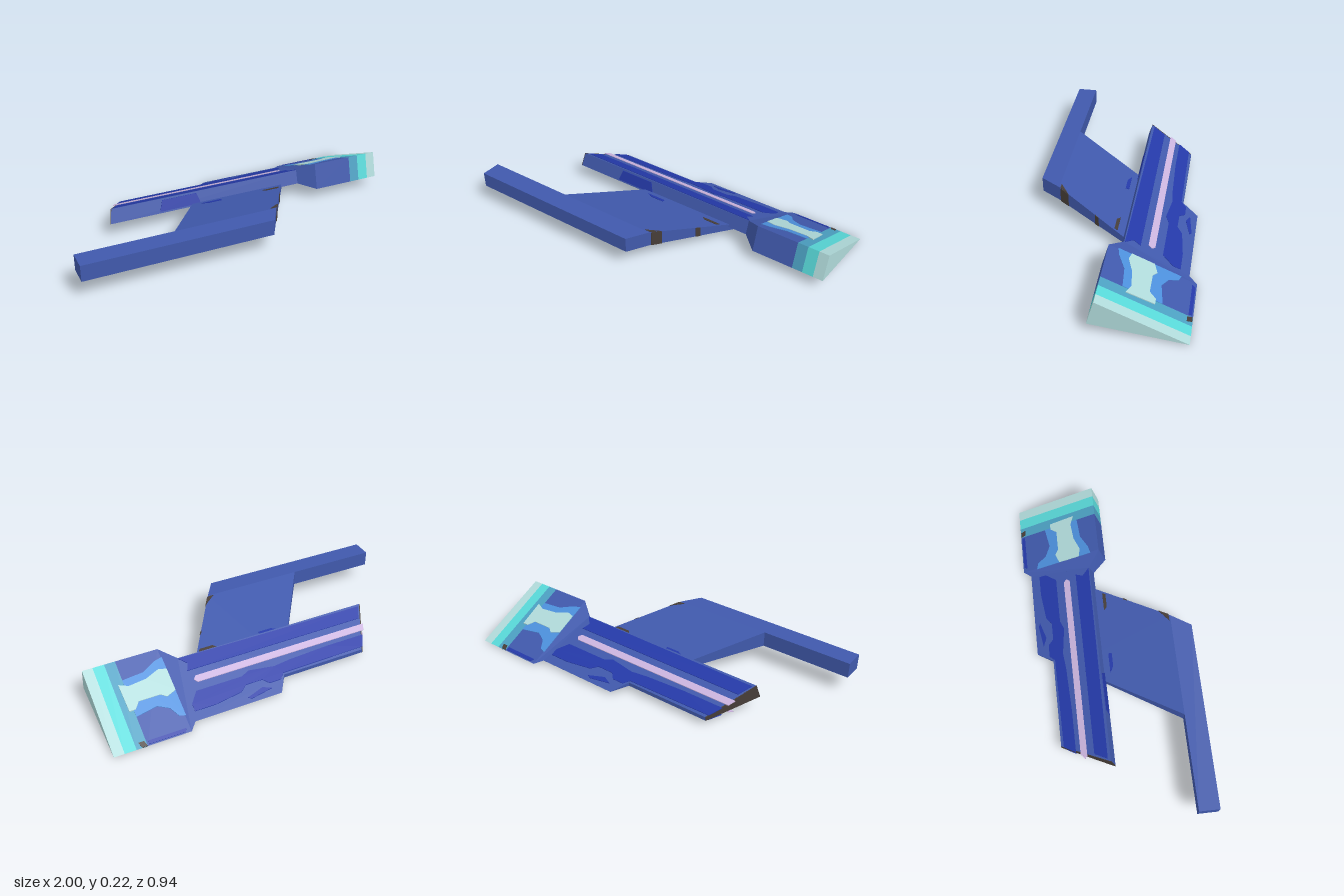
import * as THREE from 'three';

const mat = (name, color) => {
  const m = new THREE.MeshStandardMaterial({ color });
  m.name = name;
  return m;
};

// Closed solid between two matching rings of [x, y, z]; u and v are the axes the caps are triangulated in.
function hull(a, b, u, v) {
  const flat = a.map(p => new THREE.Vector2(p[u], p[v]));
  if (THREE.ShapeUtils.isClockWise(flat)) {
    a = [...a].reverse();
    b = [...b].reverse();
    flat.reverse();
  }
  const tris = [];
  a.forEach((p, i) => {
    const j = (i + 1) % a.length;
    tris.push([p, a[j], b[j]], [p, b[j], b[i]]);
  });
  for (const [i, j, k] of THREE.ShapeUtils.triangulateShape(flat, [])) {
    tris.push([a[k], a[j], a[i]], [b[i], b[j], b[k]]);
  }
  // Turn the faces outward if the enclosed volume is negative
  const V = p => new THREE.Vector3(...p);
  const volume = tris.reduce((s, [p, q, r]) => s + V(p).dot(V(q).cross(V(r))), 0);
  if (volume < 0) tris.forEach(t => t.reverse());
  const g = new THREE.BufferGeometry();
  g.setAttribute('position', new THREE.Float32BufferAttribute(tris.flat(2), 3));
  g.computeVertexNormals();
  return g;
}

// Sloping surfaces: height as a function of z
const bodyTop = z => 0.165 + 0.417 * (z + 0.075);
const bodyBottom = z => 0.085 + 0.18 * (z + 0.05);
const headTop = z => 0.213 + 0.458 * (z + 0.01);
const headBottom = z => 0.065 + 0.129 * (z - 0.03);
const wingTop = z => 0.2 + 0.2437 * (z - 0.355);
const wingBottom = z => 0.11 + 0.1244 * (z - 0.355);
const lay = (outline, f, lift = 0) => outline.map(([x, z]) => [x, f(z) + lift, z]);

export function createModel() {
  const group = new THREE.Group();
  const blue = mat('hull blue', 0x4059ac);
  const deep = mat('deep blue', 0x2439a8);
  const pink = mat('pale lilac', 0xcbb4de);
  const sky = mat('sky blue', 0x4c90dc);
  const teal = mat('teal', 0x4ca0c2);
  const cyan = mat('cyan', 0x58d8d8);
  const pale = mat('pale cyan', 0xb0dada);
  const brown = mat('dark brown', 0x463d38);

  const add = (name, geometry, material) => {
    const m = new THREE.Mesh(geometry, material);
    m.name = name;
    group.add(m);
  };
  // Thin painted plate lying on a sloping surface
  const plate = (name, outline, f, material, lift = 0.003) =>
    add(name, hull(lay(outline, f, lift), lay(outline, f, -0.001), 0, 2), material);

  // Long wedge body with a stepped rear edge
  const rear = [[0.55, -0.43], [0.03, -0.43], [-0.03, -0.34], [-0.54, -0.34]];
  const topRing = lay([[-0.677, -0.075], [0.5, -0.075], ...rear], bodyTop);
  const bottomRing = lay([[-0.69, -0.05], [0.5, -0.05], ...rear], bodyBottom);
  add('body', hull(topRing, bottomRing, 0, 2), blue);

  // Dark slanted end of the body
  const endRing = [topRing[0], bottomRing[0], bottomRing[5], topRing[5]];
  const shift = d => endRing.map(([x, y, z]) => [x + d, y, z]);
  add('bodyEnd', hull(shift(-0.003), shift(0.003), 2, 1), brown);

  // Flare between body and head
  const headSection = x => [[x, 0.065, 0.03], [x, 0.213, -0.01], [x, 0.001, -0.474]];
  const neck = [[0.49, 0.085, -0.05], [0.49, 0.165, -0.075], [0.54, 0.017, -0.43]];
  add('flare', hull(neck, headSection(0.58), 2, 1), blue);

  // Head wedge, banded toward its open end
  [['head', 0.58, 0.82, blue], ['tealBand', 0.82, 0.88, teal],
    ['cyanBand', 0.88, 0.943, cyan], ['paleEnd', 0.943, 1, pale]].forEach(([name, x0, x1, m]) =>
    add(name, hull(headSection(x0), headSection(x1), 2, 1), m));

  // Painted patches repeated on the upper and lower slopes
  const rearPatch = [[-0.55, -0.325], [-0.03, -0.33], [0, -0.36], [0.07, -0.36], [0.1, -0.33],
    [0.2, -0.33], [0.24, -0.36], [0.4, -0.38], [0.52, -0.38], [0.52, -0.34], [0.47, -0.28],
    [0.2, -0.28], [0.15, -0.26], [0, -0.28], [-0.1, -0.27], [-0.35, -0.26], [-0.59, -0.26]];
  const stepPatch = [[0.07, -0.39], [0.2, -0.41], [0.22, -0.4], [0.12, -0.37]];
  const frontPatch = [[-0.66, -0.09], [-0.62, -0.16], [0.47, -0.16], [0.45, -0.12], [0.49, -0.08]];
  const glow = [[0.575, -0.39], [0.61, -0.38], [0.64, -0.33], [0.7, -0.3], [0.82, -0.32],
    [0.82, -0.12], [0.7, -0.11], [0.62, -0.07], [0.575, -0.06]];
  const window_ = [[0.575, -0.25], [0.63, -0.27], [0.66, -0.25], [0.78, -0.25], [0.81, -0.285],
    [0.845, -0.285], [0.85, -0.14], [0.8, -0.16], [0.7, -0.15], [0.62, -0.12], [0.575, -0.13]];
  const edgeBar = [[0.6, -0.45], [0.81, -0.45], [0.81, -0.468], [0.61, -0.468]];
  const corner = [[0.82, -0.472], [0.85, -0.472], [0.86, -0.445], [0.83, -0.445]];
  const stripe = w => [[-0.63, -0.217 + w], [-0.61, -0.217 - w], [0.44, -0.217 - w],
    [0.455, -0.217], [0.44, -0.217 + w]];
  for (const [side, body, head, s, w] of [
    ['upper', bodyTop, headTop, 1, 0.018], ['lower', bodyBottom, headBottom, -1, 0.009]]) {
    plate(side + 'RearPatch', rearPatch, body, deep, 0.003 * s);
    plate(side + 'StepPatch', stepPatch, body, deep, 0.003 * s);
    plate(side + 'FrontPatch', frontPatch, body, deep, 0.003 * s);
    plate(side + 'Stripe', stripe(w), body, pink, 0.004 * s);
    plate(side + 'Glow', glow, head, sky, 0.003 * s);
    plate(side + 'Window', window_, head, pale, 0.006 * s);
    plate(side + 'EdgeBar', edgeBar, head, deep, 0.003 * s);
    plate(side + 'Corner', corner, head, brown, 0.003 * s);
  }

  // Patch on the front face of the body
  const facePatch = d => [[-0.4, 0.095, -0.053 + d], [-0.15, 0.095, -0.053 + d],
    [-0.17, 0.155, -0.072 + d], [-0.38, 0.155, -0.072 + d]];
  add('facePatch', hull(facePatch(0.003), facePatch(-0.003), 0, 1), deep);

  // Wing reaching forward from under the body, and the flat arm at its tip
  const wing = [[-0.47, 0.355], [0.122, 0.355], [0.495, -0.24], [-0.08, -0.24]];
  add('wing', hull(lay(wing, wingTop), lay(wing, wingBottom), 0, 2), blue);
  const arm = [[-1, 0.47], [0.05, 0.47], [0.122, 0.355], [-1, 0.355]];
  add('arm', hull(lay(arm, () => 0.2), lay(arm, () => 0.11), 0, 2), blue);

  // Dark bands down the wing's slanted edge
  for (const [z0, z1] of [[0.347, 0.295], [0.123, 0.1]]) {
    const ring = d => [[z0, wingBottom], [z1, wingBottom], [z1, wingTop], [z0, wingTop]]
      .map(([z, f]) => [0.122 + (0.355 - z) * 0.627 + d, f(z), z]);
    add('edgeBand', hull(ring(0.004), ring(-0.004), 2, 1), brown);
  }
  plate('tipSmudge', [[0.09, 0.347], [0.125, 0.347], [0.158, 0.297]], wingTop, brown);
  plate('rootSmudge', [[0.23, -0.015], [0.34, -0.015], [0.33, 0.003], [0.25, 0.003]], wingTop, brown);
  plate('rootPatch', [[-0.16, -0.02], [-0.04, -0.02], [-0.04, 0], [-0.12, 0]], wingTop, deep);

  return group;
}
